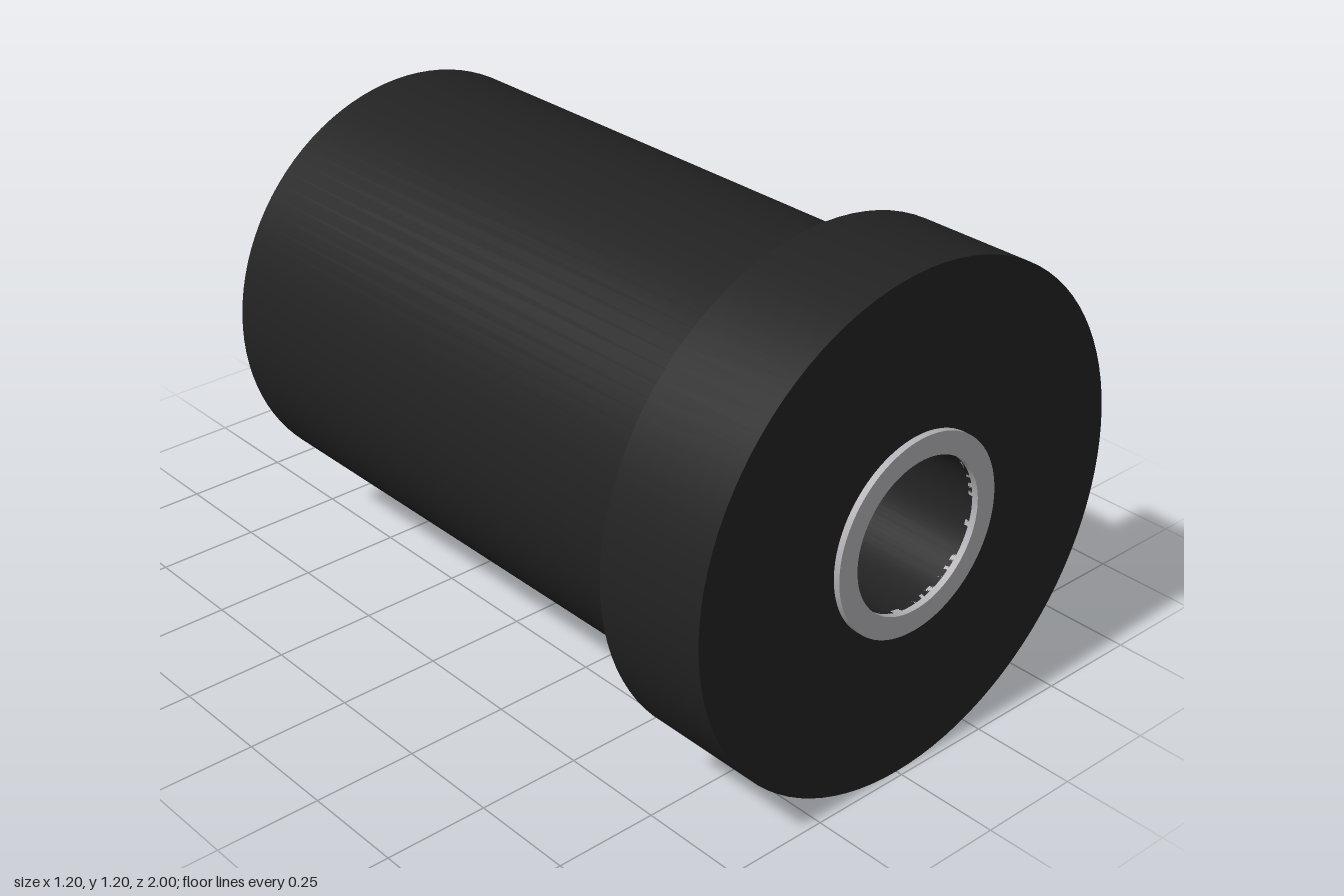
import * as THREE from 'three';
import { toCreasedNormals } from 'three/addons/utils/BufferGeometryUtils.js';

const AXIS_Y = 0.6;

function material(name, color) {
  const m = new THREE.MeshStandardMaterial({ color });
  m.name = name;
  return m;
}

// Turned part: [radius, z] profile spun around the z axis, with crisp corners
function turned(name, profile, mat, segments = 96) {
  const points = profile.map(([r, z]) => new THREE.Vector2(r, z));
  const geometry = new THREE.LatheGeometry(points, segments).rotateX(Math.PI / 2);
  const mesh = new THREE.Mesh(toCreasedNormals(geometry, 0.6), mat);
  mesh.name = name;
  return mesh;
}

export function createModel() {
  const black = material('black plastic', 0x222222);
  const silver = material('silver metal', 0xb3b1b6);

  const model = new THREE.Group();
  model.name = 'roundConnector';
  model.position.y = AXIS_Y;

  // Barrel, wide front flange and blind bore in one profile
  model.add(turned('housing', [
    [0, -0.695], [0.512, -0.695], [0.512, 0.7], [0.6, 0.7],
    [0.6, 0.985], [0.18, 0.985], [0.18, -0.3], [0, -0.3],
  ], black));

  // Metal rim standing just proud of the flange
  model.add(turned('socketRing', [
    [0.18, 0.975], [0.232, 0.975], [0.232, 1], [0.18, 1], [0.18, 0.975],
  ], silver));

  // Four contact pins at the back
  const pins = new THREE.Group();
  pins.name = 'contactPins';
  const pinGeometry = new THREE.CylinderGeometry(0.045, 0.045, 0.325, 32).rotateX(Math.PI / 2);
  for (let i = 0; i < 4; i++) {
    const a = (i * Math.PI) / 2;
    const pin = new THREE.Mesh(pinGeometry, silver);
    pin.name = 'contactPin';
    pin.position.set(0.212 * Math.cos(a), 0.212 * Math.sin(a), -0.8375);
    pins.add(pin);
  }
  model.add(pins);

  const root = new THREE.Group();
  root.add(model);
  return root;
}
